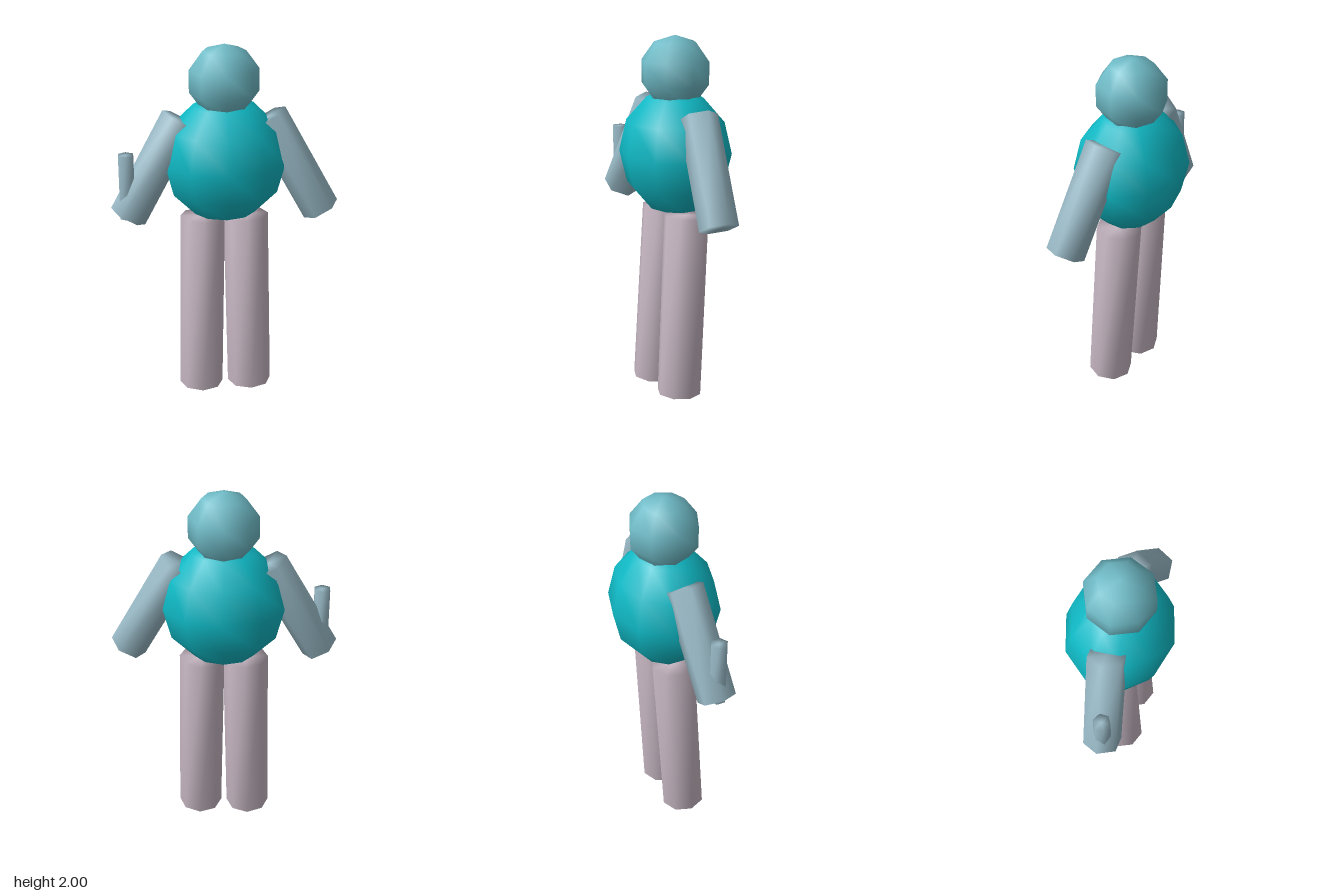
import * as THREE from 'three';
import { mergeVertices } from 'three/addons/utils/BufferGeometryUtils.js';

const material = (name, color) => {
  const m = new THREE.MeshStandardMaterial({ color });
  m.name = name;
  return m;
};

// Weld all corners so the shading flows across every edge, end caps included
function soften(geometry) {
  geometry.deleteAttribute('normal');
  geometry.deleteAttribute('uv');
  const welded = mergeVertices(geometry, 1e-4);
  welded.computeVertexNormals();
  return welded;
}

// Prism from one point to another, with one corner facing sideways
function limb(top, bottom, radius, sides) {
  const up = new THREE.Vector3().subVectors(top, bottom);
  const geometry = new THREE.CylinderGeometry(radius, radius, up.length(), sides);
  geometry.rotateY(Math.PI / 2);
  up.normalize();
  const front = new THREE.Vector3().crossVectors(new THREE.Vector3(1, 0, 0), up).normalize();
  const side = new THREE.Vector3().crossVectors(up, front);
  geometry.applyMatrix4(new THREE.Matrix4().makeBasis(side, up, front));
  const middle = top.clone().add(bottom).multiplyScalar(0.5);
  geometry.translate(middle.x, middle.y, middle.z);
  return soften(geometry);
}

export function createModel() {
  const model = new THREE.Group();
  const teal = material('teal', 0x0fb9c5);
  const paleTeal = material('paleTeal', 0x70bcc8);
  const greyBlue = material('greyBlue', 0x9abbc8);
  const mauve = material('mauve', 0xcabac6);

  const add = (name, geometry, mat) => {
    const mesh = new THREE.Mesh(geometry, mat);
    mesh.name = name;
    model.add(mesh);
  };

  // Head
  const head = new THREE.SphereGeometry(0.197, 8, 5);
  head.translate(0, 1.803, 0);
  add('head', soften(head), paleTeal);

  // Round body, wider than deep
  const body = new THREE.SphereGeometry(1, 10, 6);
  body.rotateY(Math.PI / 2);
  body.scale(0.341, 0.348, 0.295);
  body.translate(0, 1.365, 0);
  add('body', soften(body), teal);

  // Arms and legs, mirrored
  for (const [side, s] of [['left', 1], ['right', -1]]) {
    add(side + 'Arm', limb(
      new THREE.Vector3(s * 0.238, 1.598, 0),
      new THREE.Vector3(s * 0.53, 1.071, 0.053), 0.104, 6), greyBlue);
    add(side + 'Leg', limb(
      new THREE.Vector3(s * 0.12, 1.035, 0),
      new THREE.Vector3(s * 0.14, 0.0075, 0.058), 0.124, 8), mauve);
  }

  // Upright thumb on the right hand
  const thumb = new THREE.CylinderGeometry(0.047, 0.047, 0.36, 6);
  thumb.translate(-0.532, 1.245, 0.056);
  add('thumb', soften(thumb), greyBlue);

  return model;
}
